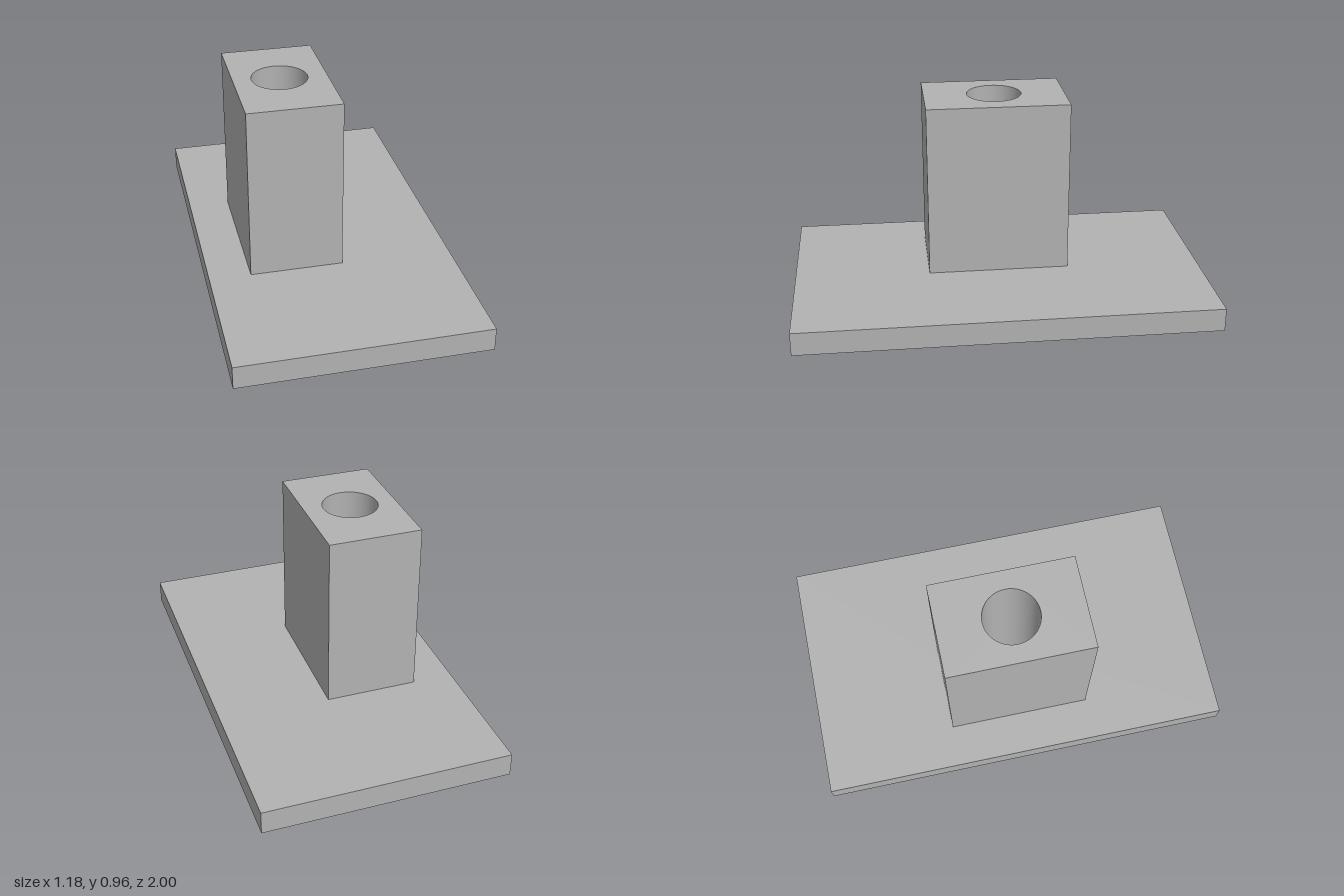
import * as THREE from 'three';
import { toCreasedNormals } from 'three/addons/utils/BufferGeometryUtils.js';

const HOLE_X = -0.17, HOLE_RADIUS = 0.133;

// Upright rectangular slab, pierced vertically by the shared round bore
function boredBlock(name, material, x0, x1, halfDepth, y0, y1) {
  const shape = new THREE.Shape([
    new THREE.Vector2(x0, -halfDepth),
    new THREE.Vector2(x1, -halfDepth),
    new THREE.Vector2(x1, halfDepth),
    new THREE.Vector2(x0, halfDepth),
  ]);
  const bore = new THREE.Path();
  bore.absarc(HOLE_X, 0, HOLE_RADIUS, 0, Math.PI * 2, true);
  shape.holes.push(bore);

  const extruded = new THREE.ExtrudeGeometry(shape, {
    depth: y1 - y0, bevelEnabled: false, curveSegments: 24,
  });
  extruded.rotateX(-Math.PI / 2).translate(0, y0, 0);
  // Smooth bore wall, sharp outer edges
  const mesh = new THREE.Mesh(toCreasedNormals(extruded, Math.PI / 6), material);
  mesh.name = name;
  return mesh;
}

export function createModel() {
  const group = new THREE.Group();
  group.name = 'mountingBlock';
  const grey = new THREE.MeshStandardMaterial({ color: 0xb2b2b2 });
  grey.name = 'grey';

  group.add(
    boredBlock('basePlate', grey, -0.588, 0.588, 1, 0, 0.113),
    boredBlock('column', grey, -0.39, 0.055, 0.344, 0.113, 0.958),
  );
  return group;
}
